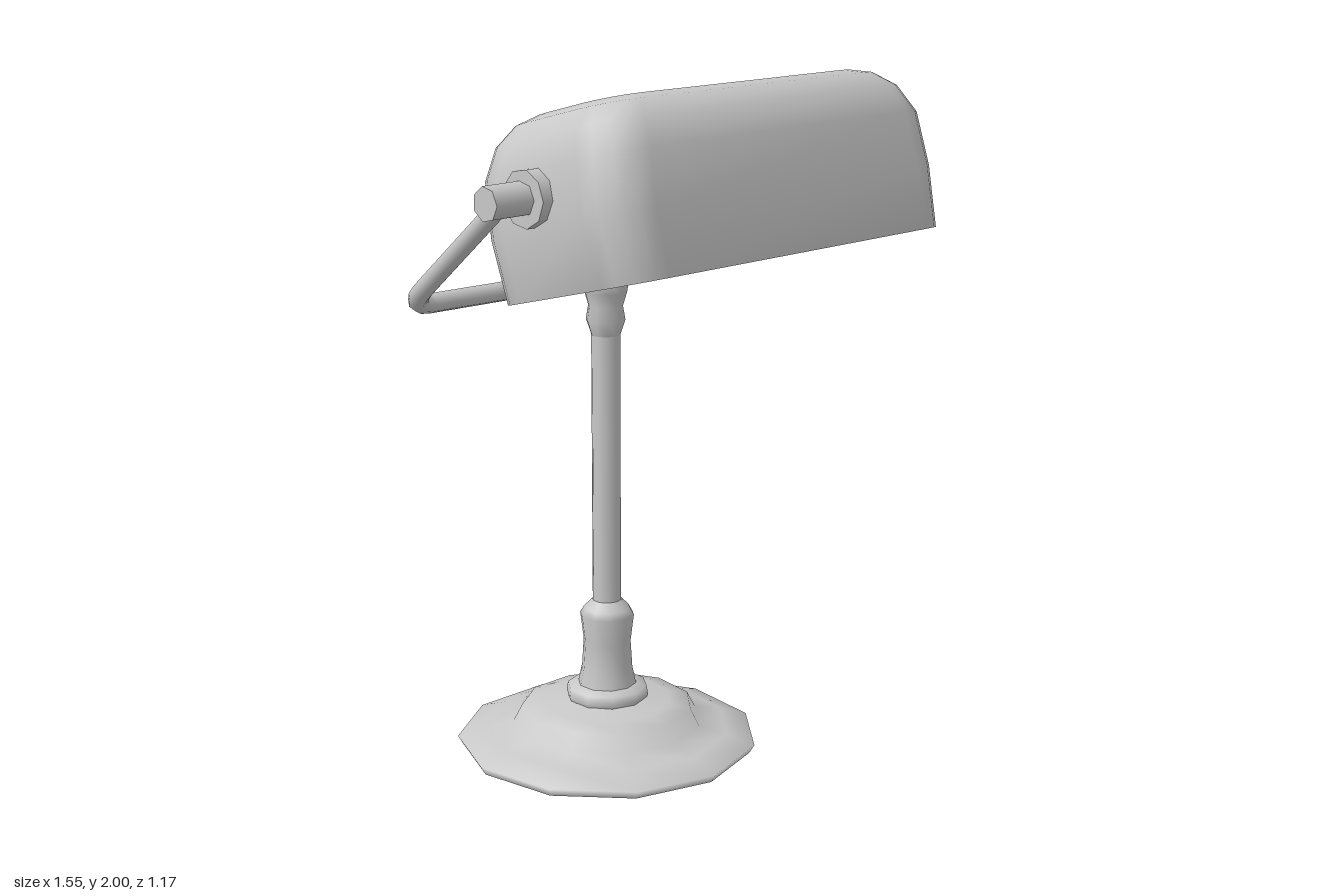
import * as THREE from 'three';

export function createModel() {
  const lamp = new THREE.Group();
  lamp.name = 'deskLamp';
  const grey = new THREE.MeshStandardMaterial({ color: 0xc8c8c8, side: THREE.DoubleSide });
  grey.name = 'plain grey';
  const AXIS_Z = -0.16;

  function add(name, geometry, x = 0, y = 0, z = 0) {
    const mesh = new THREE.Mesh(geometry, grey);
    mesh.name = name;
    mesh.position.set(x, y, z);
    lamp.add(mesh);
    return mesh;
  }
  const lathe = (points, sides) =>
    new THREE.LatheGeometry(points.map(([r, y]) => new THREE.Vector2(r, y)), sides);

  // Stepped foot with an almost flat underside
  add('foot', lathe([[0.428, 0.01], [0.443, 0.035], [0.36, 0.062], [0.278, 0.08], [0.252, 0.13],
    [0.19, 0.142], [0.115, 0.155]], 11), 0, 0, AXIS_Z);
  add('footUnderside', lathe([[0, 0], [0.16, 0], [0.428, 0.01]], 11), 0, 0, AXIS_Z);

  // Collar and flared socket that hold the pole
  add('collar', lathe([[0.115, 0.15], [0.122, 0.165], [0.118, 0.19], [0.08, 0.2]], 10), 0, 0, AXIS_Z);
  add('socket', lathe([[0.088, 0.19], [0.075, 0.25], [0.07, 0.33], [0.08, 0.41],
    [0.068, 0.43], [0.043, 0.455]], 10), 0, 0, AXIS_Z);
  add('pole', new THREE.CylinderGeometry(0.042, 0.042, 0.86, 10, 1, true), 0, 0.86, AXIS_Z);

  // Rounded joint at the top of the pole
  add('topJoint', lathe([[0.042, 1.245], [0.057, 1.29], [0.05, 1.33], [0.062, 1.37],
    [0.067, 1.4], [0.052, 1.437], [0, 1.455]], 10), 0, 0, AXIS_Z);

  // Sleeve around the middle of the yoke
  add('sleeve', new THREE.CylinderGeometry(0.031, 0.031, 0.4, 8), 0, 1.42, AXIS_Z).rotation.z = Math.PI / 2;

  // Bent yoke arms and shade pivots, mirrored
  for (const s of [1, -1]) {
    const side = s > 0 ? 'left' : 'right';
    const path = new THREE.CurvePath();
    const start = new THREE.Vector3(s * 0.15, 1.42, AXIS_Z);
    const bendIn = new THREE.Vector3(s * 0.63, 1.428, AXIS_Z + 0.005);
    const corner = new THREE.Vector3(s * 0.712, 1.428, AXIS_Z + 0.005);
    const bendOut = new THREE.Vector3(s * 0.715, 1.49, -0.08);
    const end = new THREE.Vector3(s * 0.715, 1.75, 0.235);
    path.add(new THREE.LineCurve3(start, bendIn));
    path.add(new THREE.QuadraticBezierCurve3(bendIn, corner, bendOut));
    path.add(new THREE.LineCurve3(bendOut, end));
    add(side + 'YokeArm', new THREE.TubeGeometry(path, 32, 0.027, 8));

    const disc = add(side + 'PivotDisc', new THREE.CylinderGeometry(0.075, 0.075, 0.05, 9),
      s * 0.63, 1.75, 0.238);
    disc.rotation.z = Math.PI / 2;
    const knob = add(side + 'PivotKnob', new THREE.CylinderGeometry(0.045, 0.045, 0.13, 7),
      s * 0.71, 1.75, 0.235);
    knob.rotation.z = Math.PI / 2;
  }

  // Shade: stacked rounded rectangles [height, x inset, z inset, corner radius],
  // running down the inner wall, around the rim and up the outer wall
  const outer = [[0, 0.018, 0, 0.12], [0.17, 0, -0.003, 0.13], [0.32, 0.016, -0.005, 0.13],
    [0.4, 0.052, 0.024, 0.12], [0.445, 0.098, 0.066, 0.11], [0.462, 0.15, 0.106, 0.1]];
  const WALL = 0.025;
  const inner = outer.map(([y, ix, iz, r]) => [y * 0.945, ix + WALL, iz + WALL, r - WALL]).reverse();
  const levels = [...inner, ...outer];
  const STEPS = 4;
  const RING = 4 * (STEPS + 1);
  const innerCentre = levels.length * RING;
  const positions = [];
  const index = [];
  levels.forEach(([y, insetX, insetZ, r], k) => {
    for (let q = 0; q < 4; q++) {
      const sx = q === 0 || q === 3 ? 1 : -1;
      const sz = q < 2 ? 1 : -1;
      for (let i = 0; i <= STEPS; i++) {
        const a = (q + i / STEPS) * Math.PI / 2;
        positions.push(sx * (0.63 - insetX - r) + r * Math.cos(a), y,
          sz * (0.277 - insetZ - r) + r * Math.sin(a));
      }
    }
    for (let i = 0; i < RING; i++) {
      const a = k * RING + i;
      const b = k * RING + (i + 1) % RING;
      if (k === 0) index.push(a, b, innerCentre);
      if (k < levels.length - 1) index.push(a, a + RING, b, b, a + RING, b + RING);
      else index.push(a, innerCentre + 1, b);
    }
  });
  positions.push(0, 0.438, 0, 0, 0.464, 0);
  const shadeGeometry = new THREE.BufferGeometry();
  shadeGeometry.setAttribute('position', new THREE.Float32BufferAttribute(positions, 3));
  shadeGeometry.setIndex(index);
  shadeGeometry.computeVertexNormals();
  add('shade', shadeGeometry, 0, 1.51, 0.32).rotation.x = -0.256;

  return lamp;
}
